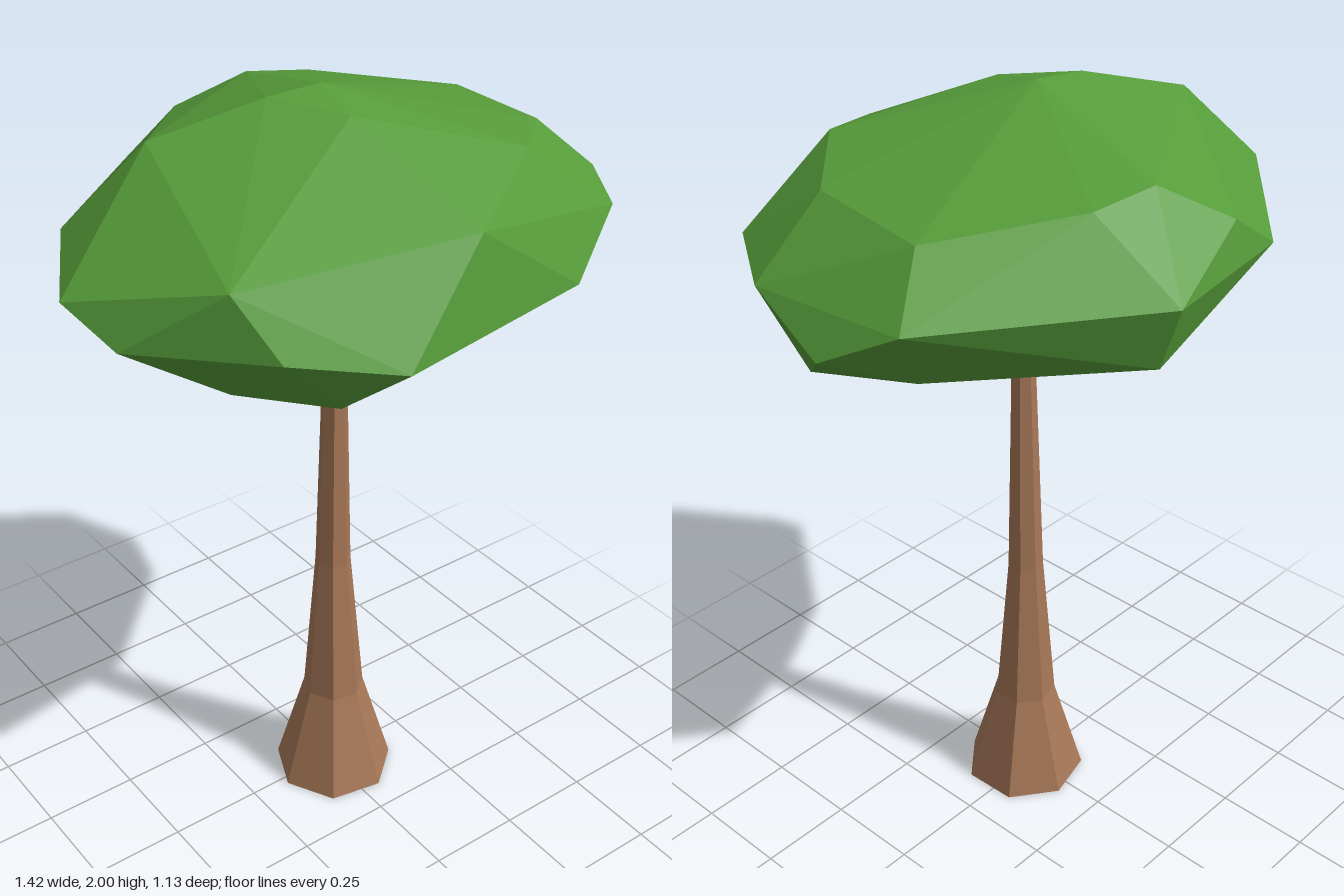
import * as THREE from 'three';
import { ConvexGeometry } from 'three/addons/geometries/ConvexGeometry.js';

// Capped loft through rings [x, y, z, radius, tilt]; tilt leans a ring from +y towards -x
function loft(rings, sides, turn) {
  const pts = rings.map(([x, y, z, r, t = 0]) =>
    Array.from({ length: sides }, (_, i) => {
      const a = turn + (i / sides) * Math.PI * 2;
      const u = r * Math.cos(a);
      return [x + u * Math.cos(t), y + u * Math.sin(t), z + r * Math.sin(a)];
    }));
  const pos = [];
  const last = rings.length - 1;
  for (let i = 0; i < sides; i++) {
    const j = (i + 1) % sides;
    for (let k = 0; k < last; k++) {
      const a = pts[k][i], b = pts[k][j], c = pts[k + 1][j], d = pts[k + 1][i];
      pos.push(...a, ...d, ...b, ...b, ...d, ...c);
    }
    pos.push(...rings[0].slice(0, 3), ...pts[0][i], ...pts[0][j]);
    pos.push(...rings[last].slice(0, 3), ...pts[last][j], ...pts[last][i]);
  }
  const geometry = new THREE.BufferGeometry();
  geometry.setAttribute('position', new THREE.Float32BufferAttribute(pos, 3));
  geometry.computeVertexNormals();
  return geometry;
}

export function createModel() {
  const group = new THREE.Group();
  const bark = new THREE.MeshStandardMaterial({ color: 0xa87858, flatShading: true });
  const leaf = new THREE.MeshStandardMaterial({ color: 0x569c3a, flatShading: true });
  const add = (name, geometry, material) => {
    const mesh = new THREE.Mesh(geometry, material);
    mesh.name = name;
    group.add(mesh);
  };

  // Trunk with a flared foot
  add('trunk', loft([
    [0.01, 0, 0.018, 0.162],
    [0.014, 0.28, 0.012, 0.082],
    [0.013, 0.7, 0.01, 0.047],
    [0.015, 1.33, 0.013, 0.03],
    [0.015, 1.56, 0.013, 0.024],
  ], 7, 2.21), bark);

  // Side branch with an upturned tip
  add('branch', loft([
    [0.015, 1.33, 0.012, 0.03, 0.4],
    [-0.03, 1.385, 0.012, 0.023, 1.1],
    [-0.235, 1.43, 0.012, 0.017, 1.0],
    [-0.24, 1.5, 0.012, 0.017, 0],
  ], 6, 0.3), bark);

  // Faceted crown: hull of corner points, from the top down to the underside
  const crown = [
    [-0.02, 2.0, 0], [-0.04, 1.972, 0.14], [-0.15, 1.99, -0.02], [0.11, 1.935, 0.21],
    [0.27, 1.91, 0], [-0.4, 1.915, -0.12], [0.06, 1.89, -0.41], [0.22, 1.87, -0.375],
    [0.3, 1.885, 0.34], [0.49, 1.85, 0.16], [0.52, 1.83, -0.16],
    [0.04, 1.81, 0.495], [-0.5, 1.77, 0.35], [-0.08, 1.8, -0.52],
    [-0.71, 1.68, 0.02], [-0.57, 1.72, -0.22], [-0.22, 1.7, -0.525], [0.16, 1.69, -0.57],
    [0.64, 1.69, -0.23], [0.71, 1.595, -0.05], [0.68, 1.69, 0.17], [0.54, 1.7, 0.38],
    [0.34, 1.597, 0.49], [-0.2, 1.58, 0.565], [-0.44, 1.63, 0.45], [-0.665, 1.61, 0.17],
    [-0.44, 1.47, 0.25], [-0.28, 1.465, 0.43], [0.33, 1.46, 0.26], [0.62, 1.49, 0.08],
    [0.5, 1.49, -0.13], [0.15, 1.525, -0.51], [-0.4, 1.5, -0.22],
    [0.14, 1.405, 0.03], [0, 1.42, -0.19], [-0.2, 1.445, 0.05],
  ].map((p) => new THREE.Vector3(...p));
  add('crown', new ConvexGeometry(crown), leaf);

  return group;
}
